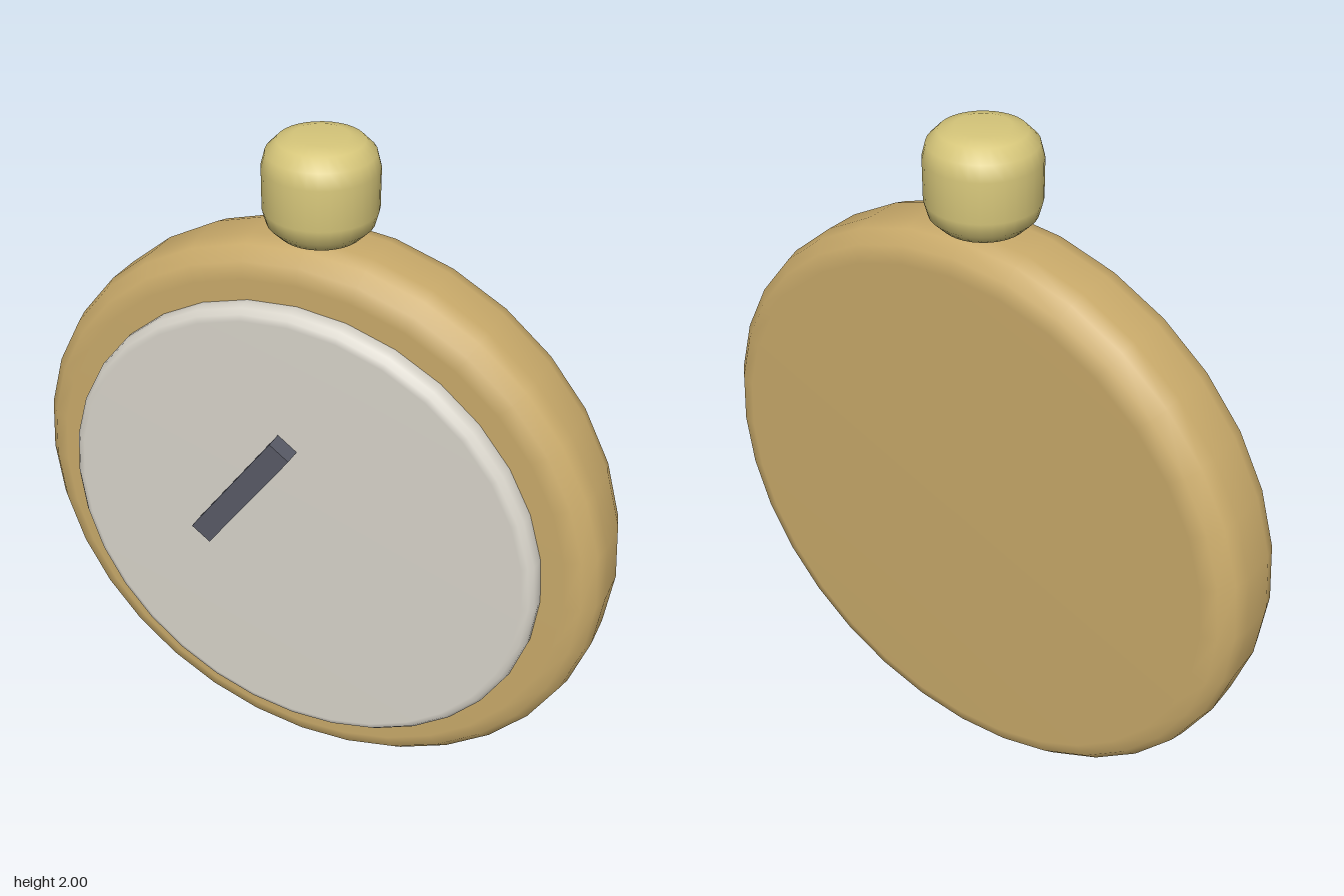
import * as THREE from 'three';

const material = (name, color) => {
  const m = new THREE.MeshStandardMaterial({ color });
  m.name = name;
  return m;
};

// Solid of revolution with softly chamfered rims, centred on the y axis.
function roundedDisc(radius, low, high, bevel, segments) {
  const points = [new THREE.Vector2(0, low)];
  const steps = 3;
  for (const end of [-1, 1]) {
    for (let i = 0; i <= steps; i++) {
      const a = ((end < 0 ? i : steps - i) / steps) * Math.PI / 2;
      const r = radius - bevel + bevel * Math.sin(a);
      const y = end < 0 ? low + bevel * (1 - Math.cos(a)) : high - bevel * (1 - Math.cos(a));
      points.push(new THREE.Vector2(r, y));
    }
  }
  points.push(new THREE.Vector2(0, high));
  return new THREE.LatheGeometry(points, segments);
}

export function createModel() {
  const model = new THREE.Group();
  model.name = 'pocketWatch';
  const centreY = 0.872;

  const add = (name, geometry, mat) => {
    const mesh = new THREE.Mesh(geometry, mat);
    mesh.name = name;
    model.add(mesh);
    return mesh;
  };

  // Case, turned so that its axis points forward
  const body = add('case', roundedDisc(0.87, -0.188, 0.095, 0.09, 32), material('warm gold', 0xc9aa6a));
  body.rotation.x = Math.PI / 2;
  body.position.y = centreY;

  // Dial standing proud of the case
  const dial = add('dial', roundedDisc(0.718, 0.06, 0.15, 0.035, 32), material('ivory', 0xd8d4ca));
  dial.rotation.x = Math.PI / 2;
  dial.position.y = centreY + 0.005;

  // Single hand
  const hand = add('hand', new THREE.BoxGeometry(0.068, 0.445, 0.06), material('slate', 0x585a66));
  hand.position.set(-0.132, 1.022, 0.17);
  hand.rotation.z = -0.615;

  // Winding crown
  const crown = add('crown', roundedDisc(0.15, 1.733, 2.0, 0.08, 32), material('pale gold', 0xd6c67a));
  crown.position.z = -0.047;

  return model;
}
